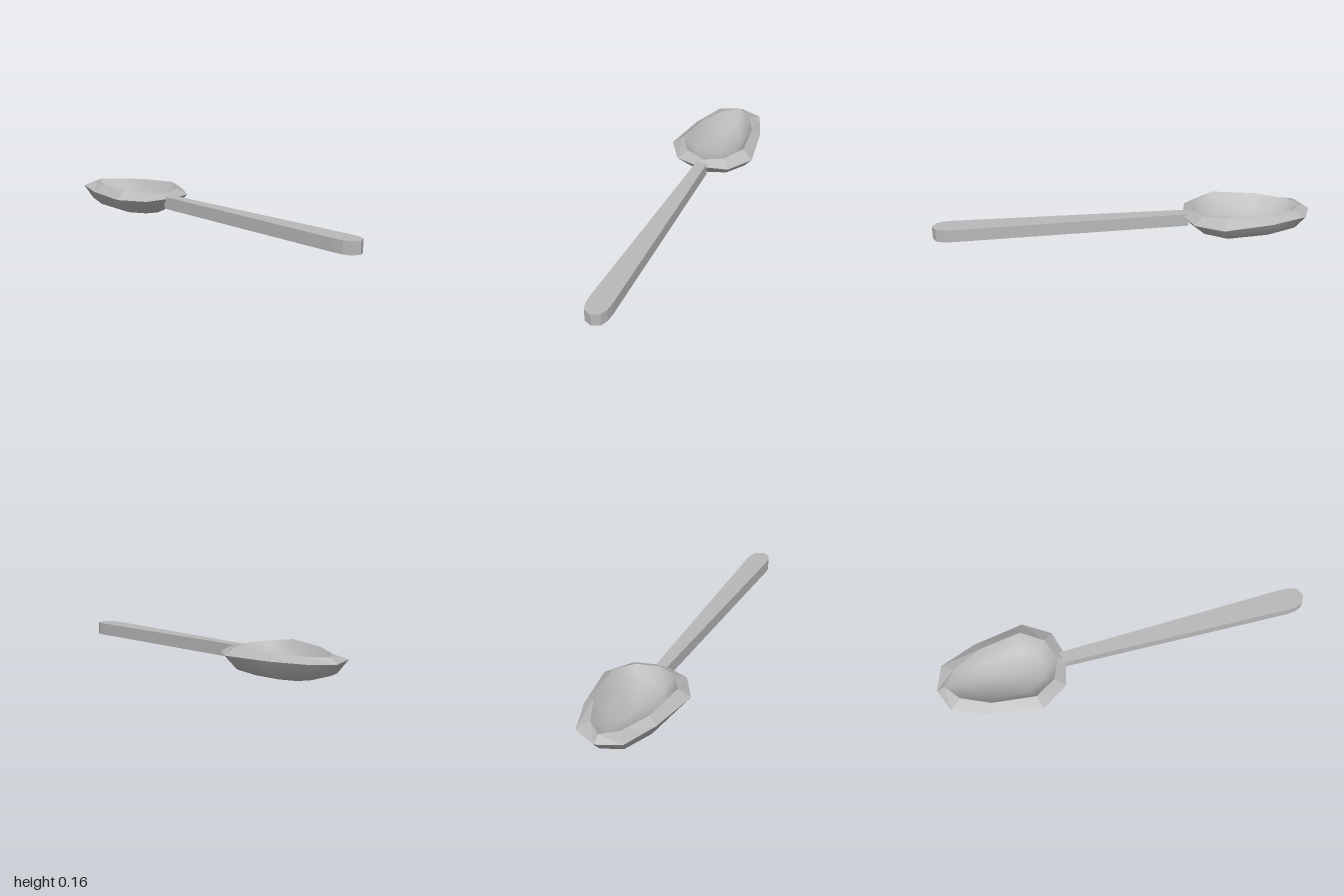
import * as THREE from 'three';
import { mergeVertices } from 'three/addons/utils/BufferGeometryUtils.js';

// Mirror a half outline of [x, y, z] points (tip to neck) into a closed ring.
function ring(half) {
  const back = half.slice(1, -1).reverse().map(([x, y, z]) => [-x, y, z]);
  return [...half, ...back];
}

// Join successive rings; outer-to-inner faces up, inner-to-outer faces down.
function loft(rings, flat) {
  const n = rings[0].length;
  const index = [];
  for (let r = 0; r < rings.length - 1; r++) {
    for (let i = 0; i < n; i++) {
      const j = (i + 1) % n;
      const a = r * n + i, b = r * n + j, c = a + n, d = b + n;
      index.push(a, d, b, a, c, d);
    }
  }
  let g = new THREE.BufferGeometry();
  g.setAttribute('position', new THREE.Float32BufferAttribute(rings.flat(2), 3));
  g.setIndex(index);
  g = flat ? g.toNonIndexed() : mergeVertices(g);
  g.computeVertexNormals();
  return g;
}

export function createModel() {
  const group = new THREE.Group();
  group.name = 'spoon';
  const metal = new THREE.MeshStandardMaterial({ color: 0xb8b8b8 });
  metal.name = 'grey metal';
  const add = (name, geometry) => {
    const mesh = new THREE.Mesh(geometry, metal);
    mesh.name = name;
    group.add(mesh);
  };

  // Bowl rings
  const outer = ring([[0, 0.11, -1], [0.125, 0.115, -0.95], [0.195, 0.112, -0.76],
    [0.24, 0.11, -0.49], [0.15, 0.108, -0.35], [0, 0.112, -0.31]]);
  const lip = ring([[0, 0.138, -0.955], [0.08, 0.138, -0.89], [0.15, 0.146, -0.74],
    [0.18, 0.155, -0.51], [0.11, 0.142, -0.4], [0, 0.133, -0.355]]);
  const lower = ring([[0, 0.05, -0.95], [0.1, 0.045, -0.9], [0.16, 0.04, -0.74],
    [0.187, 0.042, -0.52], [0.12, 0.045, -0.41], [0, 0.05, -0.36]]);
  const belly = ring([[0, 0.014, -0.83], [0.06, 0.013, -0.8], [0.09, 0.011, -0.71],
    [0.105, 0.011, -0.56], [0.06, 0.013, -0.46], [0, 0.015, -0.43]]);
  const hollow = ring([[0, 0.07, -0.86], [0.05, 0.065, -0.81], [0.1, 0.06, -0.71],
    [0.115, 0.06, -0.54], [0.07, 0.065, -0.45], [0, 0.07, -0.42]]);
  const point = (y) => outer.map(() => [0, y, -0.63]);

  add('bowlRim', loft([outer, lip], true));
  add('bowlHollow', loft([lip, hollow, point(0.04)], false));
  add('bowlUnderside', loft([point(0), belly, lower, outer], false));

  // Handle: tapered outline with a clipped end, rising slightly to the bowl
  const half = [[0.03, -0.34], [0.06, 0.89], [0.057, 0.94], [0.042, 0.98], [0, 1]];
  const outline = [...half, ...half.slice(0, -1).reverse().map(([x, z]) => [-x, z])];
  const shape = new THREE.Shape(outline.map(([x, z]) => new THREE.Vector2(x, -z)));
  const handle = new THREE.ExtrudeGeometry(shape, { depth: 0.067, bevelEnabled: false });
  handle.rotateX(-Math.PI / 2);
  const p = handle.attributes.position;
  for (let i = 0; i < p.count; i++) p.setY(i, p.getY(i) + 0.043 + (1 - p.getZ(i)) * 0.009);
  handle.computeVertexNormals();
  add('handle', handle);

  return group;
}
